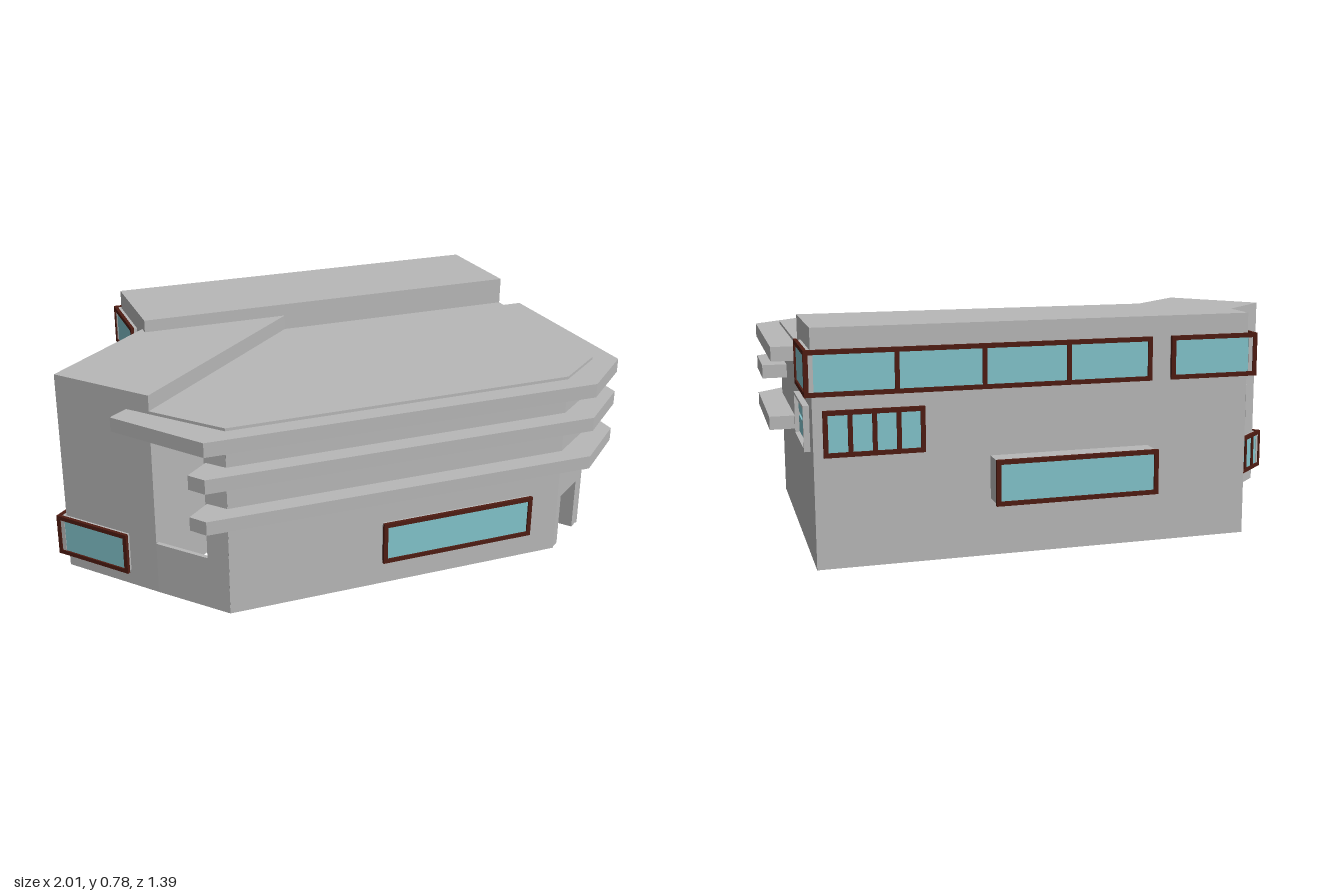
import * as THREE from 'three';

const material = (name, color) => Object.assign(new THREE.MeshStandardMaterial({ color }), { name });

export function createModel() {
  const concrete = material('concrete', 0xb8b8b8);
  const glass = material('glass', 0x82c4cc);
  const brown = material('brown frame', 0x4f1c12);

  const model = new THREE.Group();
  model.name = 'building';

  // Solid standing on a plan outline of [x, z] points
  const prism = (name, plan, y0, y1) => {
    const shape = new THREE.Shape(plan.map(([x, z]) => new THREE.Vector2(x, -z)));
    const geo = new THREE.ExtrudeGeometry(shape, { depth: y1 - y0, bevelEnabled: false });
    geo.rotateX(-Math.PI / 2).translate(0, y0, 0);
    const mesh = new THREE.Mesh(geo, concrete);
    mesh.name = name;
    model.add(mesh);
  };

  // Group whose local x runs along a wall from a to b, local z pointing outward
  const wallFrame = (name, a, b) => {
    const g = new THREE.Group();
    g.name = name;
    g.position.set(a[0], 0, a[1]);
    g.rotation.y = Math.atan2(a[1] - b[1], b[0] - a[0]);
    g.userData.length = Math.hypot(b[0] - a[0], b[1] - a[1]);
    model.add(g);
    return g;
  };

  const slab = (parent, name, mat, u0, u1, y0, y1, z0, z1) => {
    const mesh = new THREE.Mesh(new THREE.BoxGeometry(u1 - u0, y1 - y0, z1 - z0), mat);
    mesh.position.set((u0 + u1) / 2, (y0 + y1) / 2, (z0 + z1) / 2);
    mesh.name = name;
    parent.add(mesh);
  };

  // Projecting window with a brown frame divided into panes
  const framedWindow = (wall, name, u0, u1, y0, y1, panes, depth = 0.025, bar = 0.015) => {
    const g = new THREE.Group();
    g.name = name;
    wall.add(g);
    const face = depth - 0.01, e = 0.004;
    slab(g, 'casing', concrete, u0 + e, u1 - e, y0 + e, y1 - e, -0.005, face);
    slab(g, 'glass', glass, u0 + 0.01, u1 - 0.01, y0 + 0.01, y1 - 0.01, face, face + 0.004);
    slab(g, 'bottomRail', brown, u0, u1, y0, y0 + bar, face - 0.002, depth);
    slab(g, 'topRail', brown, u0, u1, y1 - bar, y1, face - 0.002, depth);
    for (let i = 0; i <= panes; i++) {
      const u = u0 + (u1 - u0 - bar) * i / panes;
      slab(g, 'mullion', brown, u, u + bar, y0 + bar, y1 - bar, face - 0.002, depth);
    }
  };

  // Two stacked panes in a slim concrete surround
  const doubleWindow = (wall, name, u0, u1, y0) => {
    const g = new THREE.Group();
    g.name = name;
    wall.add(g);
    const y1 = y0 + 0.15, t = 0.01;
    for (const u of [u0, u1 - t]) slab(g, 'sideFrame', concrete, u, u + t, y0, y1, -0.005, 0.02);
    for (const y of [y0, y1 - t]) slab(g, 'rail', concrete, u0 + t, u1 - t, y, y + t, -0.005, 0.02);
    for (const y of [y0 + 0.015, y0 + 0.083])
      slab(g, 'pane', glass, u0 + 0.015, u1 - 0.015, y, y + 0.055, -0.002, 0.006);
  };

  // Plan corners
  const wingTip = [-0.97, 0.10], wingFront = [-0.72, 0.40], frontRight = [-0.53, 0.62];
  const doorA = [0.72, 0.62], doorB = [0.91, 0.48], sideEnd = [0.91, -0.21];
  const wingBack = [-0.58, -0.25], backLeft = [0.91, -0.605], backRight = [-0.58, -0.605];

  // Main volumes
  prism('backBlock', [backRight, [-0.58, -0.21], sideEnd, backLeft], 0, 0.78);
  prism('angledWing', [wingTip, wingFront, [-0.03, -0.21], [-0.58, -0.21], wingBack], 0, 0.735);
  prism('frontRoof', [wingFront, frontRight, doorA, doorB, sideEnd, [-0.03, -0.21]], 0.66, 0.68);

  // Thin walls of the hollow front hall
  const t = 0.015;
  const front = wallFrame('frontWall', frontRight, doorA);
  slab(front, 'wall', concrete, 0, front.userData.length, 0, 0.66, -t, 0);
  const side = wallFrame('sideWall', doorB, sideEnd);
  slab(side, 'wall', concrete, 0, side.userData.length, 0, 0.66, -t, 0);

  // Angled wall with a tall opening
  const open = wallFrame('openingWall', wingFront, frontRight);
  slab(open, 'sill', concrete, 0, 0.29, 0, 0.19, -t, 0);
  slab(open, 'pier', concrete, 0.206, 0.29, 0.19, 0.66, -t, 0);
  slab(open, 'lintel', concrete, 0, 0.206, 0.63, 0.66, -t, 0);

  // Corner doorway
  const door = wallFrame('doorway', doorA, doorB);
  slab(door, 'wallAboveDoor', concrete, 0, 0.236, 0.2, 0.66, -t, 0);
  for (const u of [0.004, 0.192]) slab(door, 'doorJamb', concrete, u, u + 0.04, 0, 0.2, -0.06, -0.004);

  // Wraparound ledges: [bottom, top, rear end z, outer left end, inner left end]
  const ledges = [
    ['topLedge', 0.62, 0.67, -0.20, [-0.845, 0.38], [-0.78, 0.33]],
    ['middleLedge', 0.493, 0.543, 0.24, [-0.66, 0.63], [-0.58, 0.56]],
    ['lowerLedge', 0.347, 0.395, -0.02, [-0.66, 0.63], [-0.58, 0.56]],
  ];
  for (const [name, y0, y1, zEnd, outer, inner] of ledges)
    prism(name, [outer, [-0.62, 0.683], [0.79, 0.695], [1, 0.51], [1, zEnd],
      [0.905, zEnd], [0.905, 0.477], [0.718, 0.615], [-0.528, 0.615], inner], y0, y1);

  // Front window
  framedWindow(front, 'frontWindow', 0.55, 1.13, 0.09, 0.243, 1);

  // Left side windows
  framedWindow(side, 'upperCornerWindow', 0.81, 1.11, 0.565, 0.713, 1);
  doubleWindow(side, 'sideDoubleWindow', 0.71, 1.0, 0.37);

  // Back windows
  const back = wallFrame('backWindows', backLeft, backRight);
  framedWindow(back, 'stripWindow', -0.025, 1.13, 0.565, 0.713, 4);
  framedWindow(back, 'rearCornerWindow', 1.2, 1.515, 0.565, 0.713, 1);
  framedWindow(back, 'smallBackWindow', 0.03, 0.355, 0.37, 0.52, 4);
  framedWindow(back, 'boxWindow', 0.57, 1.13, 0.19, 0.343, 1, 0.095);

  // Right end of the back block
  const end = wallFrame('rightEndWindows', backRight, wingBack);
  framedWindow(end, 'rearCornerWindowReturn', -0.025, 0.27, 0.565, 0.713, 1);

  // Wing windows
  const wingRear = wallFrame('wingRearWindows', wingBack, wingTip);
  const len = wingRear.userData.length;
  doubleWindow(wingRear, 'wingDoubleWindow', 0.11, 0.4, 0.265);
  framedWindow(wingRear, 'wingCornerWindow', 0.25, len + 0.025, 0.053, 0.203, 4);
  const wingFace = wallFrame('wingFrontWindows', wingTip, wingFront);
  framedWindow(wingFace, 'wingCornerWindowReturn', -0.025, 0.28, 0.053, 0.203, 1);

  return model;
}
